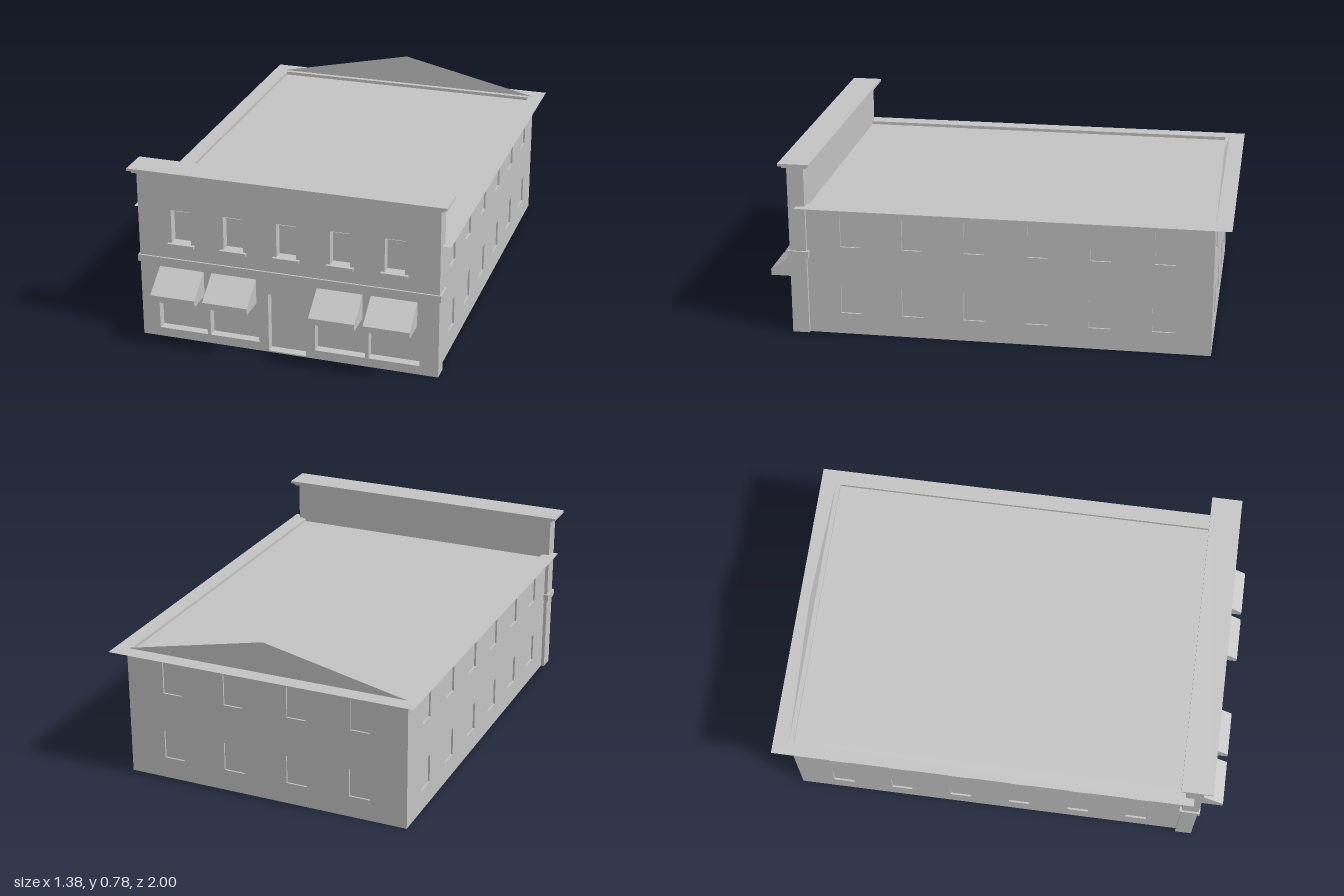
import * as THREE from 'three';

export function createModel() {
  const model = new THREE.Group();
  model.name = 'shopBuilding';
  const stone = new THREE.MeshStandardMaterial({ color: 0xc4c4c4, side: THREE.DoubleSide });
  stone.name = 'plain grey';

  const add = (name, geometry, parent = model) => {
    const mesh = new THREE.Mesh(geometry, stone);
    mesh.name = name;
    parent.add(mesh);
    return mesh;
  };

  // Box given by its limits on each axis
  const box = (name, x0, x1, y0, y1, z0, z1, parent) => {
    const g = new THREE.BoxGeometry(x1 - x0, y1 - y0, z1 - z0);
    g.translate((x0 + x1) / 2, (y0 + y1) / 2, (z0 + z1) / 2);
    return add(name, g, parent);
  };

  const rect = (Type, x0, x1, y0, y1) => new Type([
    [x0, y0], [x1, y0], [x1, y1], [x0, y1],
  ].map(([x, y]) => new THREE.Vector2(x, y)));

  // Wall slab with rectangular openings [x0, x1, y0, y1], front face at local z = depth
  const slab = (shape, openings, depth) => {
    openings.forEach((o) => shape.holes.push(rect(THREE.Path, ...o)));
    return new THREE.ExtrudeGeometry(shape, { depth, bevelEnabled: false });
  };

  const frontX = 0.655, wallX = 0.64, wallTop = 0.58, backZ = -0.93;

  // Shop front: pierced facing over a solid backing, with a doorway notch
  const front = new THREE.Group();
  front.name = 'shopFront';
  model.add(front);
  const upper = [-0.465, -0.233, 0, 0.233, 0.465];
  const shopWindows = [[-0.577, -0.36], [-0.345, -0.127], [0.122, 0.34], [0.355, 0.575]];
  const facade = new THREE.Shape([
    [-frontX, 0], [-0.084, 0], [-0.084, 0.272], [0.082, 0.272], [0.082, 0],
    [frontX, 0], [frontX, 0.76], [-frontX, 0.76],
  ].map(([x, y]) => new THREE.Vector2(x, y)));
  const facing = slab(facade, [
    ...upper.map((x) => [x - 0.043, x + 0.043, 0.45, 0.6]),
    ...shopWindows.map(([a, b]) => [a, b, 0.04, 0.25]),
  ], 0.04);
  add('frontFacing', facing, front).position.z = 0.845;
  box('frontBacking', -frontX, frontX, 0, 0.76, 0.812, 0.845, front);
  box('doorThreshold', -0.084, 0.082, 0, 0.006, 0.845, 0.885, front);
  upper.forEach((x) => box('windowSill', x - 0.058, x + 0.058, 0.437, 0.45, 0.85, 0.9, front));

  // Horizontal trim
  box('beltCourse', -0.663, 0.663, 0.348, 0.378, 0.802, 0.893, front);
  box('corniceLower', -0.67, 0.67, 0.755, 0.767, 0.793, 0.902, front);
  box('corniceUpper', -0.686, 0.686, 0.767, 0.778, 0.78, 0.915, front);

  // Wedge-shaped awnings, profile drawn as (z, y) and swept along x
  const profile = new THREE.Shape([
    [0.885, 0.222], [1, 0.222], [1, 0.25], [0.885, 0.333],
  ].map(([z, y]) => new THREE.Vector2(-z, y)));
  [-0.567, -0.334, 0.131, 0.364].forEach((x) => {
    const g = new THREE.ExtrudeGeometry(profile, { depth: 0.198, bevelEnabled: false });
    g.rotateY(Math.PI / 2);
    add('awning', g, front).position.x = x;
  });

  // Side and back walls with two rows of recessed windows
  const thick = 0.02;
  const windowedWall = (name, halfWidth, centres) => {
    const wall = new THREE.Group();
    wall.name = name;
    const holes = centres.flatMap((c) => [
      [c - 0.043, c + 0.043, 0.4, 0.54],
      [c - 0.047, c + 0.047, 0.095, 0.222],
    ]);
    const outline = rect(THREE.Shape, -halfWidth, halfWidth, 0, wallTop);
    add(name + 'Panel', slab(outline, holes, thick), wall);
    holes.forEach(([a, b, c, d]) => box('windowPane', a, b, c, d, 0.007, 0.012, wall));
    model.add(wall);
    return wall;
  };
  const midZ = (0.812 + backZ) / 2, halfLength = (0.812 - backZ) / 2;
  const rows = [0.622, 0.354, 0.084, -0.186, -0.456, -0.726].map((z) => z - midZ);
  for (const s of [1, -1]) {
    const wall = windowedWall(s > 0 ? 'leftWall' : 'rightWall', halfLength, rows.map((z) => -s * z));
    wall.rotation.y = s * Math.PI / 2;
    wall.position.set(s * (wallX - thick), 0, midZ);
  }
  const back = windowedWall('backWall', wallX - 0.001, [-0.43, -0.145, 0.145, 0.43]);
  back.rotation.y = Math.PI;
  back.position.z = backZ + thick;

  // Flat roof sunk below a thin eave ring
  const roof = new THREE.PlaneGeometry(2 * (wallX - thick), 2 * halfLength - thick);
  roof.rotateX(-Math.PI / 2);
  add('roof', roof).position.set(0, 0.566, midZ + thick / 2);
  const ring = rect(THREE.Shape, -0.689, 0.689, -0.85, 1);
  ring.holes.push(rect(THREE.Path, -wallX + thick, wallX - thick, -0.812, -backZ - thick));
  const eave = new THREE.ShapeGeometry(ring);
  eave.rotateX(-Math.PI / 2);
  add('eave', eave).position.y = wallTop + 0.001;

  // Low gable triangles standing at both ends of the roof
  const gable = new THREE.Shape([
    [-wallX, wallTop], [wallX, wallTop], [0, 0.72],
  ].map(([x, y]) => new THREE.Vector2(x, y)));
  [backZ, 0.808].forEach((z) => {
    add('gable', new THREE.ShapeGeometry(gable)).position.z = z;
  });

  return model;
}
